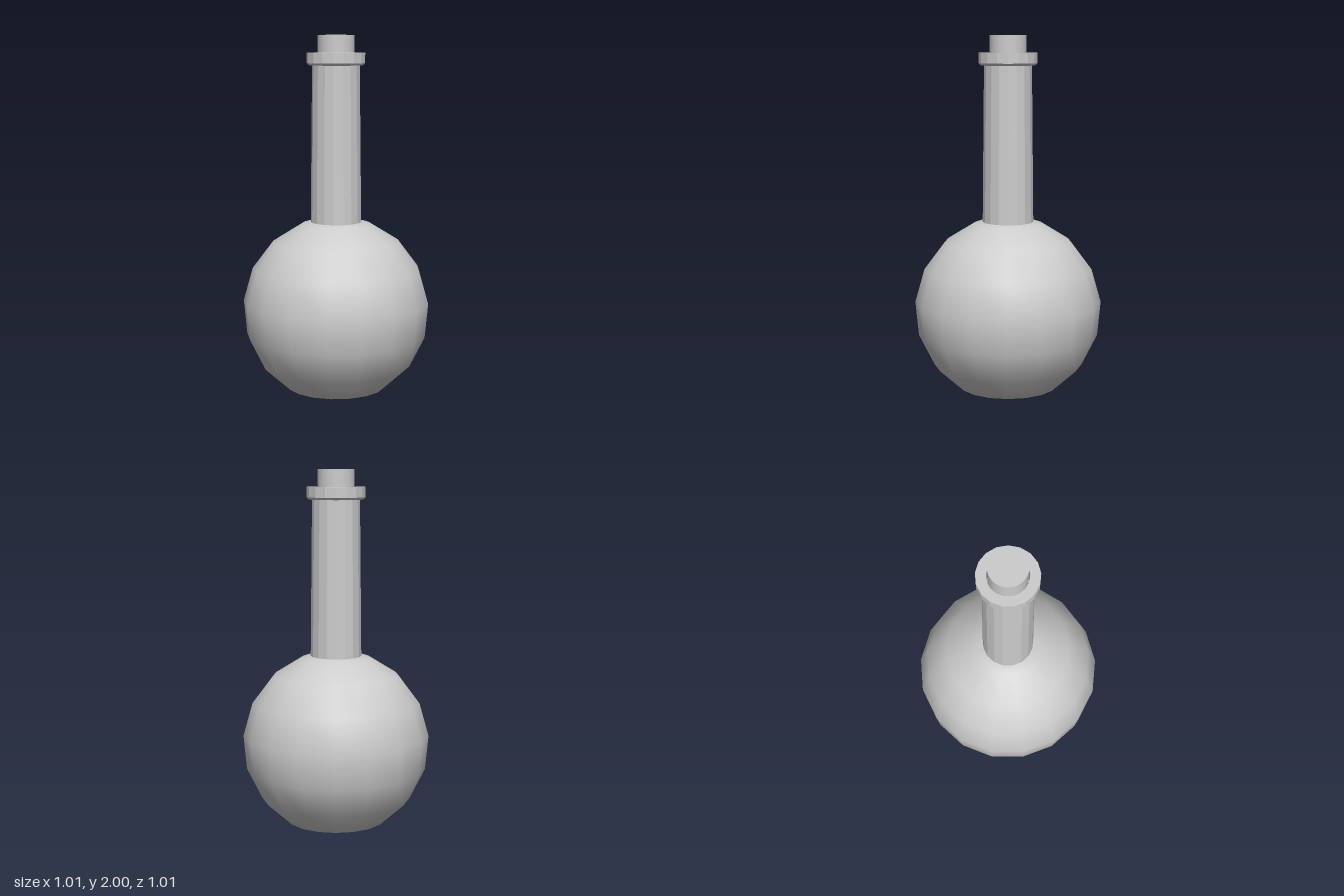
import * as THREE from 'three';

const SIDES = 17;
const grey = (extra = {}) => new THREE.MeshStandardMaterial({ color: 0xcccccc, ...extra });

// Lathe an outline of [radius, height] pairs, with one corner pointing backwards.
function turned(name, outline, sides, material) {
  const points = outline.map(([r, y]) => new THREE.Vector2(r, y));
  const mesh = new THREE.Mesh(new THREE.LatheGeometry(points, sides, Math.PI), material);
  mesh.name = name;
  return mesh;
}

export function createModel() {
  const flask = new THREE.Group();
  flask.name = 'flask';

  // Round body: rings at odd half steps, closed by a shallow point at the bottom
  const radius = 0.509, centre = 0.517, step = (Math.PI * 2) / SIDES;
  const bulb = [[0, 0.004]];
  for (let i = 1; i <= 7; i++) {
    const a = (i + 0.5) * step;
    bulb.push([radius * Math.sin(a), centre - radius * Math.cos(a)]);
  }
  bulb.push([0.12, 1.003]);
  flask.add(turned('body', bulb, SIDES, grey()));

  // Slightly tapered, faceted neck
  flask.add(turned('neck', [[0.138, 0.98], [0.128, 1.85]], SIDES, grey({ flatShading: true })));

  // Lip with a chamfered underside and an opening for the stopper
  flask.add(turned('lip', [
    [0.12, 1.84], [0.144, 1.84], [0.157, 1.852], [0.157, 1.907], [0.105, 1.907], [0.105, 1.8],
  ], SIDES, grey({ flatShading: true })));

  // Stopper, reaching down into the neck
  const stopper = new THREE.Mesh(new THREE.CylinderGeometry(0.098, 0.098, 0.2, 48), grey());
  stopper.name = 'stopper';
  stopper.position.y = 1.9;
  flask.add(stopper);

  // Floor of the narrow gap around the stopper
  const gap = new THREE.Mesh(new THREE.RingGeometry(0.09, 0.125, 48), grey());
  gap.name = 'gapFloor';
  gap.rotation.x = -Math.PI / 2;
  gap.position.y = 1.81;
  flask.add(gap);

  // The odd number of sides needs a small shift to centre the depth
  flask.position.z = 0.004;
  const model = new THREE.Group();
  model.name = 'stopperedFlask';
  model.add(flask);
  return model;
}
